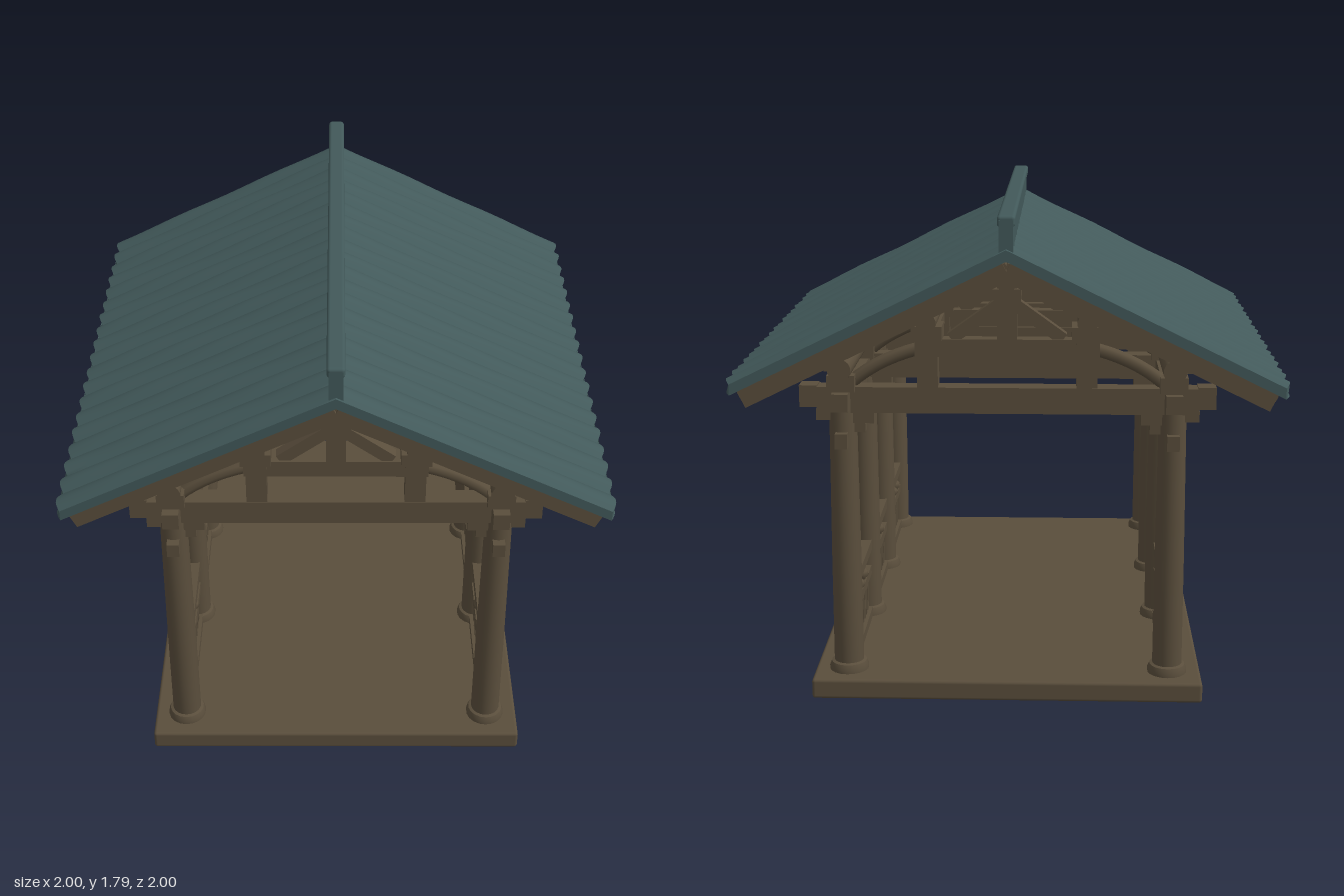
import * as THREE from 'three';
import { toCreasedNormals } from 'three/addons/utils/BufferGeometryUtils.js';
import { RoundedBoxGeometry } from 'three/addons/geometries/RoundedBoxGeometry.js';

export function createModel() {
  const model = new THREE.Group();
  const wood = new THREE.MeshStandardMaterial({ color: 0x5a4e3c });
  wood.name = 'weathered wood';
  const tile = new THREE.MeshStandardMaterial({ color: 0x42595a });
  tile.name = 'teal roof tile';

  const add = (name, geo, mat = wood, x = 0, y = 0, z = 0) => {
    const m = new THREE.Mesh(geo, mat);
    m.name = name;
    m.position.set(x, y, z);
    model.add(m);
    return m;
  };
  // Box given by its centre in x and z and its bottom and top in y
  const box = (name, x, y0, y1, z, w, d, mat = wood) =>
    add(name, new THREE.BoxGeometry(w, y1 - y0, d), mat, x, (y0 + y1) / 2, z);
  // Square bar between two points in the plane of one truss
  const bar = (name, x0, y0, x1, y1, z, h, d) => {
    const m = add(name, new THREE.BoxGeometry(Math.hypot(x1 - x0, y1 - y0), h, d), wood,
      (x0 + x1) / 2, (y0 + y1) / 2, z);
    m.rotation.z = Math.atan2(y1 - y0, x1 - x0);
    return m;
  };
  // Round pole running along z
  const poleZ = (name, x, y, r, len, mat = wood) => {
    add(name, new THREE.CylinderGeometry(r, r, len, 14), mat, x, y).rotation.x = Math.PI / 2;
  };

  const SIDES = [-1, 1];
  const COLUMN_X = 0.595;
  const COLUMN_Z = [-0.875, -0.285, 0.285, 0.875];
  const roofY = (x) => 1.69 - 0.49 * x;

  // Platform
  add('platform', new RoundedBoxGeometry(1.44, 0.076, 2, 2, 0.012), wood, 0, 0.038, 0);

  // Columns with base pads, and the bracket blocks at their heads
  const column = new THREE.LatheGeometry([[0, 0.07], [0.073, 0.07], [0.073, 0.09], [0.066, 0.108],
    [0.055, 0.112], [0.054, 0.5], [0.049, 1.19], [0, 1.19]].map(([r, y]) => new THREE.Vector2(r, y)), 18);
  const columnGeo = toCreasedNormals(column, 0.6);
  for (const s of SIDES) {
    for (const z of COLUMN_Z) {
      add('column', columnGeo, wood, s * COLUMN_X, 0, z);
      box('columnHeadBlock', s * COLUMN_X, 1.15, 1.21, z, 0.1, 0.12);
      box('innerBracketUpper', s * 0.53, 1.03, 1.075, z, 0.1, 0.06);
      box('innerBracketLower', s * 0.54, 0.995, 1.035, z, 0.055, 0.05);
      box('outerBracket', s * 0.66, 1.04, 1.08, z, 0.06, 0.05);
    }
  }

  // Trusses
  for (const z of COLUMN_Z) {
    box('tieBeam', 0, 1.07, 1.165, z, 1.37, 0.075);
    box('upperTieBeam', 0, 1.275, 1.34, z, 0.66, 0.06);
    box('kingPost', 0, 1.335, 1.6, z, 0.07, 0.07);
    box('kingPostBlock', 0, 1.485, 1.525, z, 0.1, 0.12);
    for (const s of SIDES) {
      box('tieBeamEnd', s * 0.715, 1.09, 1.17, z, 0.065, 0.07);
      box('queenPost', s * 0.285, 1.16, 1.36, z, 0.075, 0.07);
      box('queenPostBlock', s * 0.285, 1.34, 1.39, z, 0.11, 0.12);
      bar('kingPostStrut', s * 0.2, 1.34, s * 0.02, 1.47, z, 0.045, 0.045);
      // Curved brace from the column head to the queen post
      const curve = new THREE.QuadraticBezierCurve3(new THREE.Vector3(s * 0.57, 1.17, z),
        new THREE.Vector3(s * 0.46, 1.27, z), new THREE.Vector3(s * 0.28, 1.31, z));
      add('curvedBrace', new THREE.TubeGeometry(curve, 8, 0.024, 8, false));
    }
  }

  // Purlins
  poleZ('ridgePurlin', 0, 1.555, 0.038, 1.9);
  for (const s of SIDES) {
    poleZ('middlePurlin', s * 0.285, 1.405, 0.036, 1.9);
    poleZ('eavePurlin', s * COLUMN_X, 1.235, 0.042, 1.92);
    box('middlePurlinRail', s * 0.285, 1.29, 1.335, 0, 0.04, 1.8);
  }

  // Side beams, with an arched panel above them in each bay
  const archPanel = (width) => {
    const h = width / 2, sh = new THREE.Shape();
    sh.moveTo(-h, 1.0);
    sh.lineTo(-0.2, 1.015);
    sh.quadraticCurveTo(0, 1.125, 0.2, 1.015);
    sh.lineTo(h, 1.0);
    sh.lineTo(h, 1.14);
    sh.lineTo(-h, 1.14);
    const g = new THREE.ExtrudeGeometry(sh, { depth: 0.04, bevelEnabled: false, curveSegments: 12 });
    return g.translate(0, 0, -0.02).rotateY(Math.PI / 2);
  };
  for (const s of SIDES) {
    const x = s * COLUMN_X;
    box('sideBeam', x, 0.945, 1.0, 0, 0.045, 1.91);
    box('sideTopBeam', x, 1.085, 1.15, 0, 0.06, 1.94);
    for (let i = 0; i < 3; i++) {
      const a = COLUMN_Z[i], b = COLUMN_Z[i + 1];
      add('archedPanel', archPanel(b - a), wood, x, 0, (a + b) / 2);
    }
  }

  // Railings
  const urn = new THREE.LatheGeometry([[0.018, 0.285], [0.018, 0.295], [0.03, 0.305], [0.029, 0.325],
    [0.014, 0.338], [0.013, 0.345], [0.024, 0.36]].map(([r, y]) => new THREE.Vector2(r, y)), 10);
  const URN_Z = [[-0.73, -0.62, -0.5], [-0.08, 0.07], [0.5, 0.62, 0.73]];
  for (const s of SIDES) {
    const x = s * COLUMN_X;
    for (let i = 0; i < 3; i++) {
      const a = COLUMN_Z[i] + 0.04, b = COLUMN_Z[i + 1] - 0.04;
      const c = (a + b) / 2, len = b - a;
      box('topRail', x, 0.355, 0.397, c, 0.05, len);
      box('middleRail', x, 0.253, 0.29, c, 0.045, len);
      box('bottomRail', x, 0.07, 0.113, c, 0.05, len);
      for (const z of URN_Z[i]) add('carvedRailPost', urn, wood, x, 0, z);
      for (let k = 0; k < 10; k++) {
        box('baluster', x, 0.11, 0.255, c + (k - 4.5) * 0.046, 0.022, 0.022);
      }
    }
  }

  // Rafters, boarding under the tiles and gable boards
  for (const s of SIDES) {
    bar('roofBoarding', 0, roofY(0) - 0.078, s * 0.955, roofY(0.955) - 0.078, 0, 0.022, 1.93);
    for (let i = 0; i < 18; i++) {
      const z = (i - 8.5) * 0.105;
      const m = bar('rafter', 0, roofY(0) - 0.105, s * 0.94, roofY(0.94) - 0.105, z, 0.045, 0.042);
      m.material = wood;
    }
    for (const e of SIDES) {
      bar('gableBoard', 0, roofY(0) - 0.095, s * 0.945, roofY(0.945) - 0.095, e * 0.95, 0.07, 0.05);
    }
  }

  // Tiled roof slopes: a scalloped section carried down the slope
  const ROWS = 19, STEPS = ROWS * 8, period = 2 / ROWS;
  const wave = (z) => Math.abs(Math.cos((Math.PI * z) / period));
  const section = new THREE.Shape();
  const zAt = (i) => -1 + (2 * i) / STEPS;
  section.moveTo(-1, -0.058);
  for (let i = 1; i <= STEPS; i++) section.lineTo(zAt(i), -0.058 + 0.014 * wave(zAt(i)));
  for (let i = STEPS; i >= 0; i--) section.lineTo(zAt(i), -0.018 + 0.022 * wave(zAt(i)));
  for (const s of SIDES) {
    const g = new THREE.ExtrudeGeometry(section, { depth: 1, steps: 12, bevelEnabled: false });
    g.rotateY((s * Math.PI) / 2);
    const p = g.attributes.position;
    for (let i = 0; i < p.count; i++) {
      const t = Math.abs(p.getX(i)), z = p.getZ(i);
      const row = Math.round(z / period);
      const wobble = 0.003 * Math.sin(15 * t + row * 2.4) * wave(z);
      const x = t * (0.982 + 0.018 * wave(z));
      p.setXYZ(i, s * x, roofY(x) + p.getY(i) + wobble, z);
    }
    g.deleteAttribute('uv');
    add('tiledRoofSlope', toCreasedNormals(g, 0.7), tile);
  }

  // Ridge
  box('ridgeWall', 0, 1.63, 1.775, 0, 0.05, 1.99, tile);
  add('ridgeCap', new RoundedBoxGeometry(0.064, 0.04, 1.99, 2, 0.012), tile, 0, 1.77, 0);

  return model;
}
